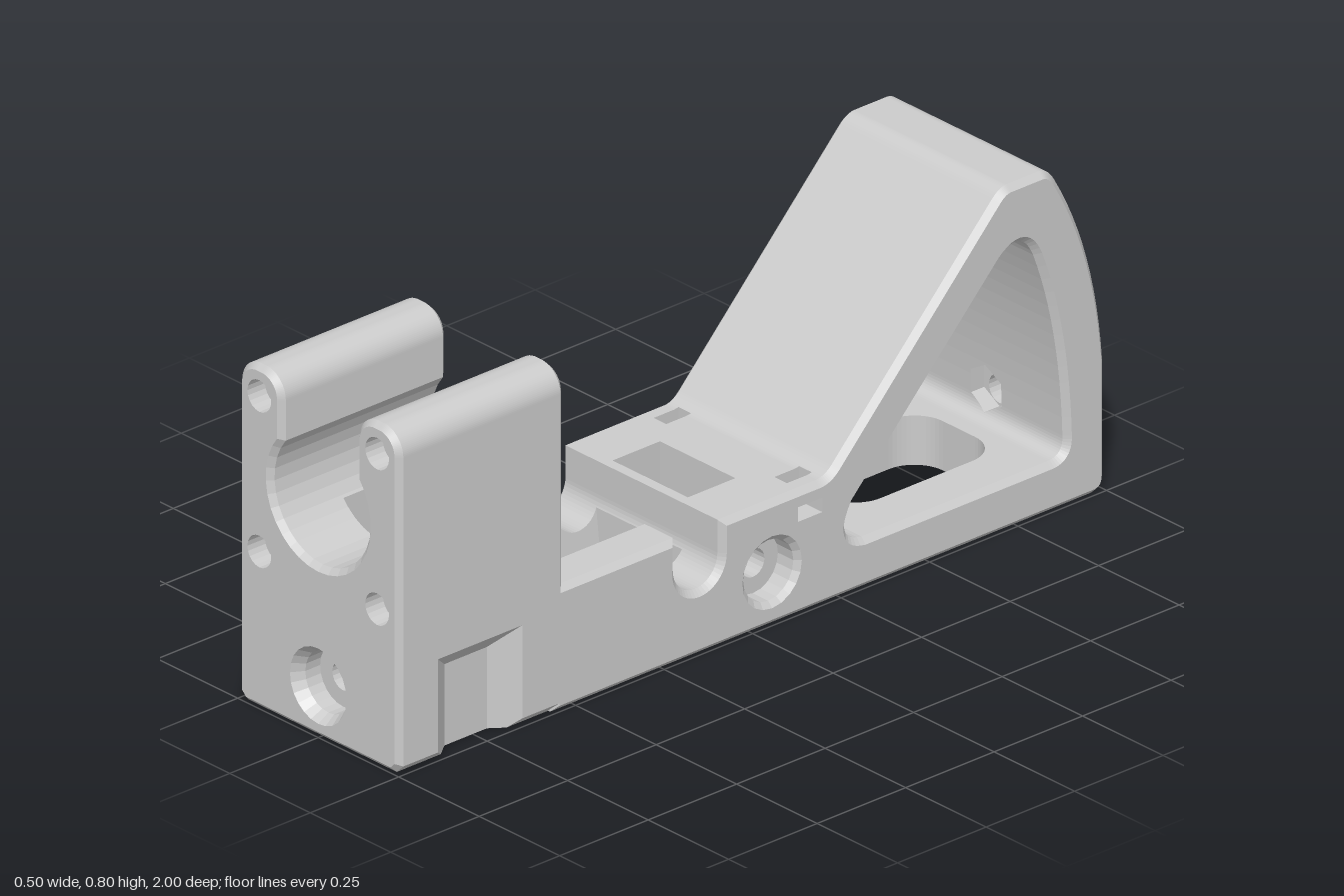
import * as THREE from 'three';

const EPS = 1e-5;

// ---- Small solid-cutting kit: polygons {v, n, w} and a plane tree ----
function polygons(geometry) {
  const p = (geometry.index ? geometry.toNonIndexed() : geometry).attributes.position;
  const out = [];
  for (let i = 0; i < p.count; i += 3) {
    const v = [0, 1, 2].map(k => new THREE.Vector3().fromBufferAttribute(p, i + k));
    const n = v[1].clone().sub(v[0]).cross(v[2].clone().sub(v[0]));
    if (n.length() < 1e-9) continue;
    n.normalize();
    out.push({ v, n, w: n.dot(v[0]) });
  }
  return out;
}

function split(plane, poly, front, back, coplanar) {
  const d = poly.v.map(q => plane.n.dot(q) - plane.w);
  const above = d.some(t => t > EPS), below = d.some(t => t < -EPS);
  if (!above && !below) return coplanar(poly);
  if (!below) return front.push(poly);
  if (!above) return back.push(poly);
  const f = [], b = [];
  poly.v.forEach((q, i) => {
    const j = (i + 1) % d.length;
    if (d[i] >= -EPS) f.push(q);
    if (d[i] <= EPS) b.push(q);
    if ((d[i] > EPS && d[j] < -EPS) || (d[i] < -EPS && d[j] > EPS)) {
      const m = q.clone().lerp(poly.v[j], d[i] / (d[i] - d[j]));
      f.push(m);
      b.push(m);
    }
  });
  if (f.length > 2) front.push({ ...poly, v: f });
  if (b.length > 2) back.push({ ...poly, v: b });
}

function tree(polys) {
  const plane = polys[0], front = [], back = [];
  polys.slice(1).forEach(p => split(plane, p, front, back, () => {}));
  return {
    n: plane.n, w: plane.w,
    front: front.length ? tree(front) : null,
    back: back.length ? tree(back) : null,
  };
}

function clip(node, polys, keepInside) {
  const front = [], back = [];
  polys.forEach(p => split(node, p, front, back, q => (q.n.dot(node.n) > 0 ? front : back).push(q)));
  const f = node.front && front.length ? clip(node.front, front, keepInside) : keepInside ? [] : front;
  const b = node.back && back.length ? clip(node.back, back, keepInside) : keepInside ? back : [];
  return f.concat(b);
}

function area(poly) {
  const s = new THREE.Vector3(), o = poly.v[0];
  for (let i = 1; i + 1 < poly.v.length; i++) {
    s.add(poly.v[i].clone().sub(o).cross(poly.v[i + 1].clone().sub(o)));
  }
  return s.length();
}

// Clip one polygon, keeping it whole when nothing is removed
function clipped(node, poly, inside) {
  const parts = clip(node, [poly], inside);
  const sum = parts.reduce((t, p) => t + area(p), 0);
  return Math.abs(sum - area(poly)) < 1e-9 ? [poly] : parts;
}

function cut(solid, cutter) {
  const c = polygons(cutter), solidTree = tree(solid), cutTree = tree(c);
  const kept = solid.flatMap(p => clipped(cutTree, p, false));
  const walls = c.flatMap(p => clipped(solidTree, p, true))
    .map(p => ({ v: p.v.slice().reverse(), n: p.n.clone().negate(), w: -p.w }));
  return kept.concat(walls);
}

function carvedMesh(name, base, cutters) {
  const a = [];
  for (const { v } of cutters.reduce(cut, polygons(base))) {
    for (let i = 1; i + 1 < v.length; i++) [v[0], v[i], v[i + 1]].forEach(q => a.push(q.x, q.y, q.z));
  }
  const g = new THREE.BufferGeometry();
  g.setAttribute('position', new THREE.Float32BufferAttribute(a, 3));
  g.computeVertexNormals();
  const mesh = new THREE.Mesh(g, new THREE.MeshStandardMaterial({ color: 0xcccccc, flatShading: true }));
  mesh.name = name;
  return mesh;
}

// ---- Shape helpers ----
// Extrusion with chamfered ends, total length kept
function chamfered(shape, length, c) {
  return new THREE.ExtrudeGeometry(shape, {
    depth: length - 2 * c, bevelThickness: c, bevelSize: c, bevelOffset: -c, bevelSegments: 1, curveSegments: 12,
  }).translate(0, 0, c);
}

// Box from min and max corners
const box = (x0, x1, y0, y1, z0, z1) =>
  new THREE.BoxGeometry(x1 - x0, y1 - y0, z1 - z0).translate((x0 + x1) / 2, (y0 + y1) / 2, (z0 + z1) / 2);

// Tapered block between a lower and an upper rectangle [x0, x1, z0, z1]
function taper(lower, upper, y0, y1) {
  const g = new THREE.BoxGeometry(1, 1, 1), p = g.attributes.position;
  for (let i = 0; i < p.count; i++) {
    const r = p.getY(i) > 0 ? upper : lower;
    p.setXYZ(i, r[p.getX(i) > 0 ? 1 : 0], p.getY(i) > 0 ? y1 : y0, r[p.getZ(i) > 0 ? 3 : 2]);
  }
  return g;
}

// Bores along z and x; radius r0 at the low end, r1 at the high end
const boreZ = (x, y, z0, z1, r0, r1 = r0, sides = 20) =>
  new THREE.CylinderGeometry(r1, r0, z1 - z0, sides).rotateX(Math.PI / 2).translate(x, y, (z0 + z1) / 2);
const boreX = (y, z, x0, x1, r0, r1 = r0) =>
  new THREE.CylinderGeometry(r1, r0, x1 - x0, 20).rotateZ(-Math.PI / 2).translate((x0 + x1) / 2, y, z);

// ---- Front block with keyhole cradle ----
function holderBlock() {
  const s = new THREE.Shape(), a = Math.acos(0.115 / 0.15);
  s.moveTo(-0.23, 0);
  s.lineTo(0.23, 0);
  s.lineTo(0.25, 0.02);
  s.absarc(0.19, 0.74, 0.06, 0, Math.PI / 2);
  s.absarc(0.175, 0.74, 0.06, Math.PI / 2, Math.PI);
  s.absarc(0, 0.55, 0.15, a, Math.PI - a, true);
  s.absarc(-0.175, 0.74, 0.06, 0, Math.PI / 2);
  s.absarc(-0.19, 0.74, 0.06, Math.PI / 2, Math.PI);
  s.lineTo(-0.25, 0.02);
  const base = chamfered(s, 0.47, 0.013).translate(0, 0, 0.53);
  const cutters = [
    // Bottom pocket opening into the cradle
    taper([-0.165, 0.165, 0.62, 0.9], [-0.115, 0.115, 0.7, 0.82], -0.015, 0.1),
    box(-0.117, 0.117, 0.085, 0.52, 0.698, 0.822),
    // Stepped front bore
    boreZ(0, 0.12, 0.97, 1.01, 0.07, 0.094, 24),
    boreZ(0, 0.12, 0.93, 0.99, 0.071, 0.071, 24),
    boreZ(0, 0.12, 0.75, 0.96, 0.033),
  ];
  for (const side of [-1, 1]) {
    // Screw holes
    for (const y of [0.73, 0.367]) {
      cutters.push(boreZ(side * 0.183, y, 0.5, 1.02, 0.021, 0.021, 16));
      cutters.push(boreZ(side * 0.183, y, 0.95, 1.02, 0.037));
    }
    // Tapered finger recess in the flank
    const span = h => (side > 0 ? [-h, 0.05] : [-0.05, h]);
    cutters.push(taper([...span(0.19), 0.71, 0.83], [...span(0.25), 0.635, 0.905], 0.205, 0.262)
      .rotateZ(-side * Math.PI / 2));
  }
  return carvedMesh('holderBlock', base, cutters);
}

// ---- Base rail with the sloped, curved-back rest ----
function railAndRest() {
  // Side profile, drawn with -z to the right
  const s = new THREE.Shape();
  s.moveTo(-0.56, 0);
  s.lineTo(0.96, 0);
  s.quadraticCurveTo(1, 0, 1, 0.04);
  s.lineTo(1, 0.3);
  s.quadraticCurveTo(0.98, 0.57, 0.865, 0.765);
  s.quadraticCurveTo(0.845, 0.8, 0.82, 0.8);
  s.lineTo(0.73, 0.8);
  s.quadraticCurveTo(0.71, 0.8, 0.69, 0.78);
  s.lineTo(0.235, 0.31);
  s.quadraticCurveTo(0.215, 0.29, 0.19, 0.29);
  s.lineTo(-0.087, 0.29);
  s.absarc(-0.15, 0.213, 0.063, 0, Math.PI, true);
  s.lineTo(-0.213, 0.29);
  s.lineTo(-0.56, 0.29);
  const h = new THREE.Path();
  h.moveTo(0.32, 0.115);
  h.lineTo(0.845, 0.115);
  h.quadraticCurveTo(0.89, 0.115, 0.888, 0.16);
  h.quadraticCurveTo(0.88, 0.42, 0.805, 0.61);
  h.quadraticCurveTo(0.77, 0.69, 0.705, 0.635);
  h.lineTo(0.29, 0.21);
  h.quadraticCurveTo(0.24, 0.125, 0.32, 0.115);
  s.holes.push(h);
  const base = chamfered(s, 0.5, 0.014).rotateY(Math.PI / 2).translate(-0.25, 0, 0);

  // Rounded opening through the rest's floor
  const o = new THREE.Shape();
  const [w, z0, z1, r] = [0.13, 0.39, 0.81, 0.08];
  o.absarc(w - r, z0 + r, r, -Math.PI / 2, 0);
  o.absarc(w - r, z1 - r, r, 0, Math.PI / 2);
  o.absarc(r - w, z1 - r, r, Math.PI / 2, Math.PI);
  o.absarc(r - w, z0 + r, r, Math.PI, Math.PI * 1.5);
  const floorOpening = new THREE.ExtrudeGeometry(o, { depth: 0.2, bevelEnabled: false, curveSegments: 6 })
    .rotateX(-Math.PI / 2).translate(0, -0.04, 0);

  const cutters = [
    floorOpening,
    // Channel between the walls
    taper([-0.12, 0.12, 0.096, 0.6], [-0.152, 0.152, 0.09, 0.6], 0.1, 0.31),
    // Bottom pocket and deck window
    taper([-0.165, 0.165, -0.17, 0.09], [-0.115, 0.115, -0.07, 0.06], -0.015, 0.085),
    box(-0.117, 0.117, 0.07, 0.4, -0.072, 0.062),
    // Cross bore and rear bore with hexagonal nut seat
    boreX(0.125, -0.055, -0.3, 0.3, 0.033),
    boreZ(0, 0.17, -1.05, -0.8, 0.033),
    boreZ(0, 0.185, -0.925, -0.8, 0.055, 0.055, 6),
  ];
  for (const side of [-1, 1]) {
    const span = (a, b) => (side > 0 ? [a, b] : [-b, -a]);
    // Counterbore with a flared mouth
    cutters.push(boreX(0.125, -0.055, ...span(0.19, 0.27), 0.071));
    cutters.push(boreX(0.125, -0.055, ...span(0.236, 0.262), ...(side > 0 ? [0.069, 0.097] : [0.097, 0.069])));
    // Strap port joining the side to the deck
    cutters.push(box(...span(0.175, 0.27), 0.218, 0.252, -0.197, -0.128));
    cutters.push(box(...span(0.168, 0.207), 0.234, 0.36, -0.206, -0.136));
  }
  return carvedMesh('railAndRest', base, cutters);
}

export function createModel() {
  const group = new THREE.Group();
  group.name = 'cradleStand';
  group.add(holderBlock(), railAndRest());
  return group;
}
